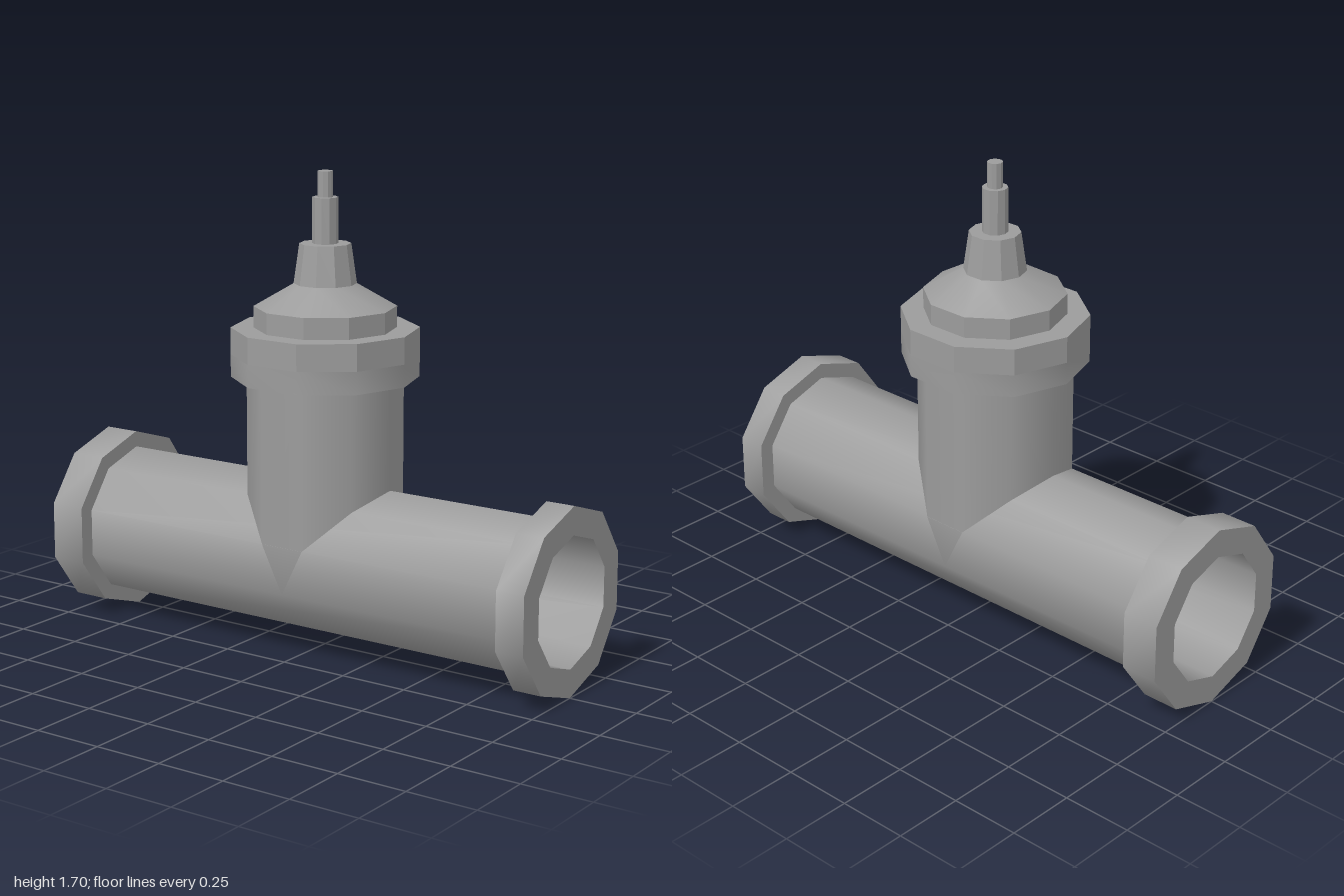
import * as THREE from 'three';
import { toCreasedNormals } from 'three/addons/utils/BufferGeometryUtils.js';

const SIDES = 10;
const AXIS_Y = 0.333; // height of the main pipe's axis
const PIPE_R = 0.275;
const FLANGE_R = 0.333;
const BORE_R = 0.232;

function part(name, geometry) {
  const mesh = new THREE.Mesh(geometry, new THREE.MeshStandardMaterial({ color: 0x9c9c9c }));
  mesh.name = name;
  return mesh;
}

// Turned ten-sided part; profile rows are [radius, height]
function turned(name, profile, smooth) {
  const points = profile.map(([r, y]) => new THREE.Vector2(r, y));
  const lathe = new THREE.LatheGeometry(points, SIDES, Math.PI / 2);
  // 0.7 rad smooths round the ten sides, 0.2 rad keeps every facet flat
  return part(name, toCreasedNormals(lathe, smooth ? 0.7 : 0.2));
}

// Upright pipe, its lower rim mitred to sit on the main pipe
function mitredBranch(top) {
  const geometry = new THREE.CylinderGeometry(PIPE_R, PIPE_R, top, SIDES, 1, true, Math.PI / 2);
  geometry.translate(0, top / 2, 0);
  const pos = geometry.attributes.position;
  for (let i = 0; i < pos.count; i++) {
    if (pos.getY(i) < 0.1) pos.setY(i, AXIS_Y + Math.abs(pos.getX(i)));
  }
  return part('branchPipe', geometry);
}

// Tapered end of the branch, fading into the main pipe's flat side
function branchTip() {
  const s = Math.sin(Math.PI / SIDES);
  const c = Math.cos(Math.PI / SIDES);
  const half = PIPE_R * s;
  const z = PIPE_R * c + 0.001;
  const geometry = new THREE.BufferGeometry();
  geometry.setAttribute('position', new THREE.Float32BufferAttribute([
    -half, AXIS_Y + half, z, 0, AXIS_Y - half, z, half, AXIS_Y + half, z], 3));
  geometry.setAttribute('normal', new THREE.Float32BufferAttribute([
    -s, 0, c, 0, -s, c, s, 0, c], 3));
  return part('branchTip', geometry);
}

export function createModel() {
  const group = new THREE.Group();
  group.name = 'valve';

  // Hollow main pipe with a flange at each end
  const mainPipe = turned('mainPipe', [
    [BORE_R, -1], [FLANGE_R, -1], [FLANGE_R, -0.865], [PIPE_R, -0.865],
    [PIPE_R, 0.895], [FLANGE_R, 0.895], [FLANGE_R, 1], [BORE_R, 1], [BORE_R, -1],
  ], true);
  mainPipe.rotation.z = -Math.PI / 2;
  mainPipe.position.y = AXIS_Y;
  group.add(mainPipe);

  // Branch with a tip on the front and the back
  group.add(mitredBranch(0.98));
  for (const turn of [0, Math.PI]) {
    const tip = branchTip();
    tip.rotation.y = turn;
    group.add(tip);
  }

  // Collar, bonnet and stem stacked on the branch
  group.add(
    turned('collar', [[PIPE_R - 0.02, 0.98], [0.33, 0.98], [0.33, 1.06]], true),
    turned('bonnetFlange', [[0.33, 1.06], [0.33, 1.155], [0.24, 1.155]], false),
    turned('bonnetRim', [[0.25, 1.155], [0.25, 1.23]], false),
    turned('bonnetCone', [[0.25, 1.23], [0.11, 1.31]], true),
    turned('gland', [[0.11, 1.31], [0.09, 1.45], [0, 1.45]], false),
    turned('lowerStem', [[0.045, 1.45], [0.045, 1.61], [0, 1.61]], false),
    turned('upperStem', [[0.027, 1.61], [0.027, 1.7], [0, 1.7]], false),
  );
  return group;
}
